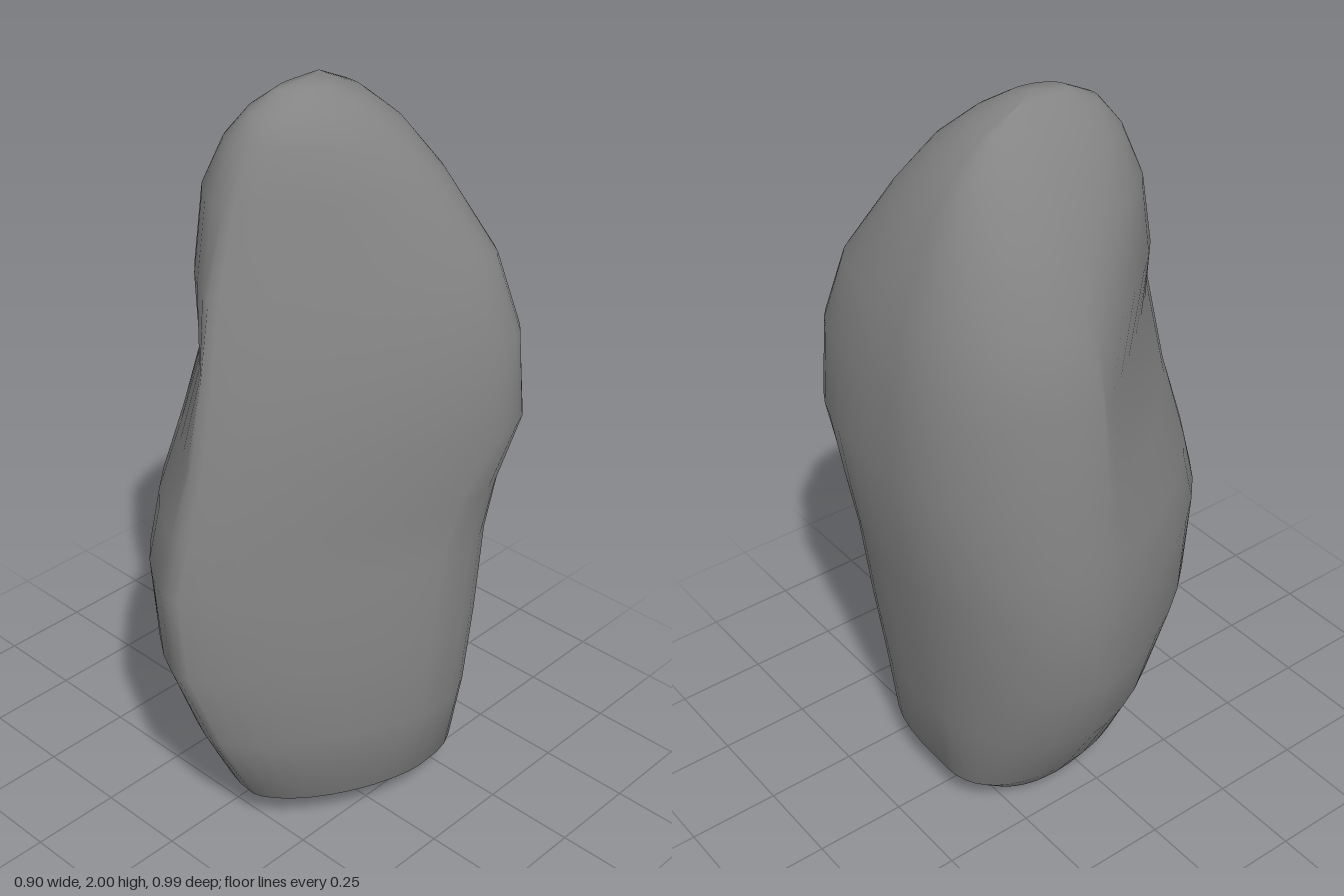
import * as THREE from 'three';

const { smoothstep } = THREE.MathUtils;

// Each level: height, front ridge x and z, right corner x and z, back z, left corner x and z
const LEVELS = [
  [0.02, 0.00, 0.06, 0.14, -0.08, -0.20, -0.13, -0.08],
  [0.05, 0.06, 0.18, 0.28, -0.10, -0.30, -0.20, -0.10],
  [0.11, 0.11, 0.30, 0.355, -0.10, -0.37, -0.24, -0.10],
  [0.33, 0.08, 0.41, 0.40, -0.10, -0.40, -0.37, -0.11],
  [0.56, 0.04, 0.485, 0.41, -0.11, -0.435, -0.44, -0.12],
  [0.80, 0.02, 0.495, 0.405, -0.14, -0.465, -0.455, -0.13],
  [0.95, 0.03, 0.46, 0.41, -0.20, -0.485, -0.445, -0.13],
  [1.14, 0.04, 0.42, 0.45, -0.27, -0.495, -0.43, -0.13],
  [1.37, 0.03, 0.37, 0.425, -0.28, -0.48, -0.40, -0.13],
  [1.56, 0.01, 0.32, 0.36, -0.26, -0.44, -0.355, -0.15],
  [1.76, -0.01, 0.245, 0.245, -0.18, -0.36, -0.245, -0.12],
  [1.88, -0.02, 0.195, 0.17, -0.12, -0.28, -0.165, -0.08],
  [1.95, -0.02, 0.14, 0.10, -0.07, -0.20, -0.10, -0.05],
  [1.99, -0.02, 0.06, 0.04, -0.04, -0.11, -0.05, -0.04],
];
const BACK_X = -0.05;
const ARC_STEPS = 10;

// Closed rounded-triangle outline running front, right, back, left
function outline([y, frontX, frontZ, rightX, rightZ, backZ, leftX, leftZ]) {
  // fullness of an arc: 1 is straight, 2 is elliptical, more is boxier
  const towardBase = 1 - smoothstep(y, 0.05, 0.4);
  const towardTop = smoothstep(y, 1.6, 2);
  const frontRight = 1.35 + 0.65 * towardTop + 0.2 * towardBase;
  const rightBack = 2.5 + 0.5 * towardBase - 0.4 * towardTop;
  const backLeft = 2.05 + 0.3 * towardBase;
  // the left face pinches in below a bulging shoulder
  const leftFront = 1.5 + 0.5 * towardBase
    - 0.4 * smoothstep(y, 0.9, 1.35) + 1.2 * smoothstep(y, 1.4, 1.85);

  const front = [frontX, frontZ], back = [BACK_X, backZ];
  const right = [rightX, rightZ], left = [leftX, leftZ];
  const arcs = [
    [front, right, frontRight, false],
    [back, right, rightBack, true],
    [back, left, backLeft, false],
    [front, left, leftFront, true],
  ];
  return arcs.flatMap(([end, side, fullness, reversed]) =>
    Array.from({ length: ARC_STEPS }, (_, k) => {
      const t = (reversed ? ARC_STEPS - k : k) / ARC_STEPS * Math.PI / 2;
      const s = Math.pow(Math.max(0, Math.sin(t)), 2 / fullness);
      const c = Math.pow(Math.max(0, Math.cos(t)), 2 / fullness);
      return [end[0] + (side[0] - end[0]) * s, y, side[1] + (end[1] - side[1]) * c];
    }));
}

// Skin the stacked outlines and close both ends with a single point
function loft(rings, bottom, top) {
  const n = rings[0].length;
  const positions = [...rings.flat(), bottom, top].flat();
  const bottomIndex = rings.length * n;
  const last = bottomIndex - n;
  const index = [];
  for (let j = 0; j < n; j++) {
    const k = (j + 1) % n;
    for (let r = 0; r < last; r += n) {
      index.push(r + j, r + k, r + k + n, r + j, r + k + n, r + j + n);
    }
    index.push(bottomIndex, k, j, bottomIndex + 1, last + j, last + k);
  }
  const geometry = new THREE.BufferGeometry();
  geometry.setAttribute('position', new THREE.Float32BufferAttribute(positions, 3));
  geometry.setIndex(index);
  geometry.computeVertexNormals();
  return geometry;
}

export function createModel() {
  const group = new THREE.Group();
  group.name = 'standingStone';

  const rock = new THREE.Mesh(
    loft(LEVELS.map(outline), [-0.07, 0, -0.07], [-0.01, 2, -0.04]),
    new THREE.MeshStandardMaterial({ color: 0x848484 }),
  );
  rock.name = 'rock';
  group.add(rock);
  return group;
}
